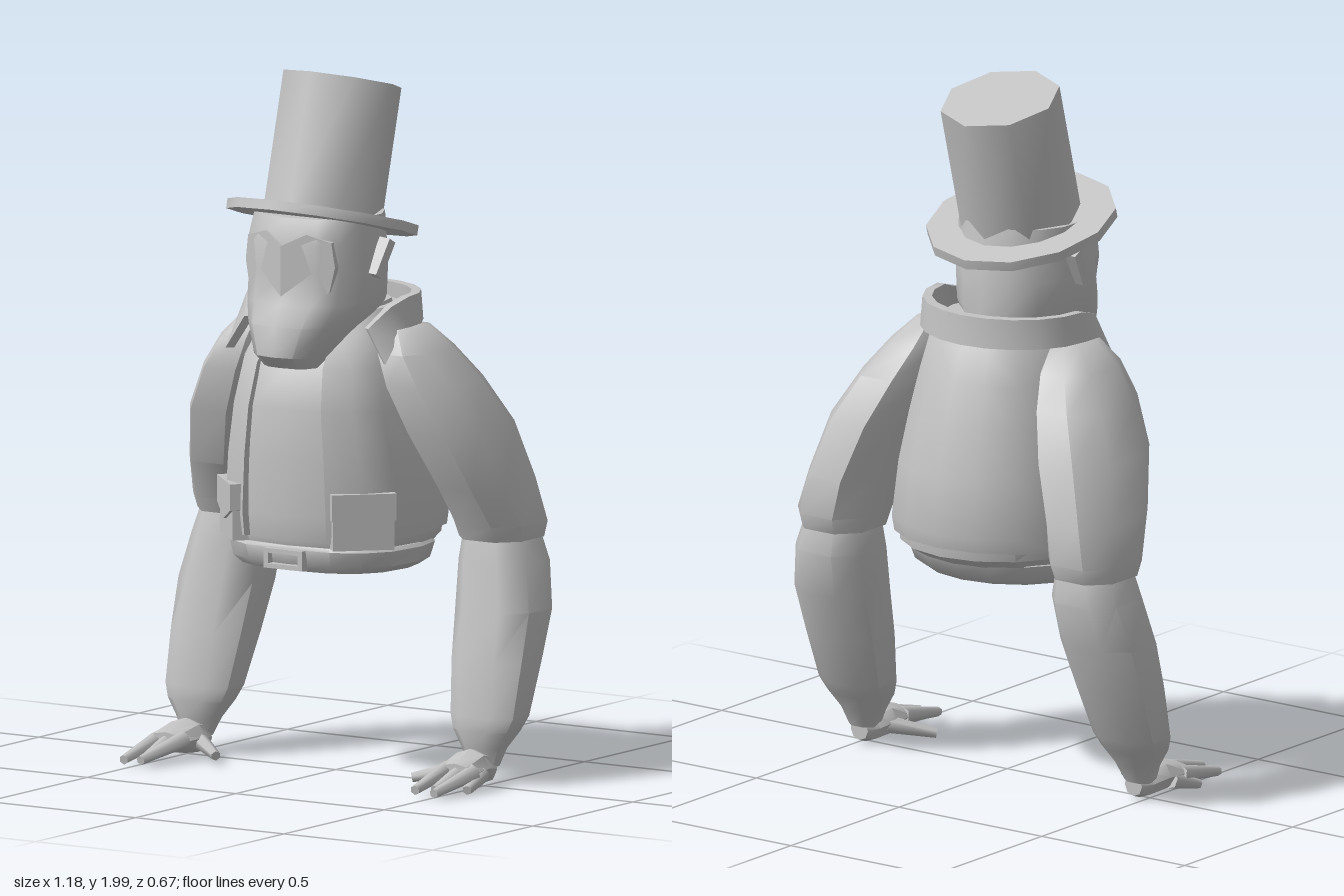
import * as THREE from 'three';
import { toCreasedNormals } from 'three/addons/utils/BufferGeometryUtils.js';

const V = (x, y, z) => new THREE.Vector3(x, y, z);
const grey = new THREE.MeshStandardMaterial({ color: 0xc4c4c4 });
grey.name = 'plain grey';

// Closed skin over a list of rings, capped at both ends
function loft(rings, crease = 0.75) {
  const n = rings[0].length, pos = [], idx = [];
  rings.forEach(r => r.forEach(p => pos.push(p.x, p.y, p.z)));
  for (let i = 0; i < rings.length - 1; i++) for (let j = 0; j < n; j++) {
    const a = i * n + j, b = i * n + (j + 1) % n;
    idx.push(a, b, b + n, a, b + n, a + n);
  }
  [0, rings.length - 1].forEach((i, end) => {
    const c = rings[i].reduce((s, p) => s.add(p), V(0, 0, 0)).divideScalar(n);
    const k = pos.length / 3;
    pos.push(c.x, c.y, c.z);
    for (let j = 0; j < n; j++) {
      const a = i * n + j, b = i * n + (j + 1) % n;
      if (end) idx.push(k, a, b); else idx.push(k, b, a);
    }
  });
  const g = new THREE.BufferGeometry();
  g.setAttribute('position', new THREE.Float32BufferAttribute(pos, 3));
  g.setIndex(idx);
  return toCreasedNormals(g, crease);
}

const pw = (v, p) => Math.sign(v) * Math.abs(v) ** p;
// Point on a horizontal section: boxy in front, round behind
function section(a, [y, rx, zf, zb], k = 1) {
  const c = Math.cos(a), p = c > 0 ? 0.75 : 1;
  return V(rx * k * pw(Math.sin(a), p), y, (zf + zb) / 2 + (zf - zb) / 2 * k * pw(c, p));
}
const ringOf = (row, n, k) => Array.from({ length: n }, (_, j) => section(j / n * Math.PI * 2, row, k));

// Horizontal eight-sided section from x and z ranges, on side s
function oval([y, x0, x1, z0, z1], s) {
  return Array.from({ length: 8 }, (_, j) => {
    const a = (j + 0.5) / 8 * Math.PI * 2;
    return V(s * (x0 + x1) / 2 + (x1 - x0) / 2 * 1.065 * pw(Math.sin(a), 0.8), y,
      (z0 + z1) / 2 + (z1 - z0) / 2 * 1.065 * pw(Math.cos(a), 0.8));
  });
}

// Open band wrapped round the body: profile(a) lists outer points downward, then inner points upward
function wrap(a0, steps, profile) {
  const rings = [];
  for (let i = 0; i <= steps; i++) rings.push(profile(a0 + (Math.PI * 2 - 2 * a0) * i / steps));
  return loft(rings);
}

const shapeOf = points => new THREE.Shape(points.map(p => new THREE.Vector2(...p)));
const extrude = (shape, depth) => new THREE.ExtrudeGeometry(shape, { depth, bevelEnabled: false });

export function createModel() {
  const model = new THREE.Group();
  const add = (name, geo, parent = model) => {
    const m = new THREE.Mesh(geo, grey);
    m.name = name;
    parent.add(m);
    return m;
  };
  const limb = (name, p, q, r0, r1) => {
    const d = q.clone().sub(p);
    const m = add(name, new THREE.CylinderGeometry(r1, r0, d.length(), 6));
    m.position.copy(p).addScaledVector(d, 0.5);
    m.quaternion.setFromUnitVectors(V(0, 1, 0), d.normalize());
  };

  // Torso and open vest share the same sections: y, half width, front z, back z
  const body = [
    [0.69, 0.30, 0.265, -0.325], [0.76, 0.305, 0.272, -0.335], [0.92, 0.29, 0.272, -0.315],
    [1.06, 0.265, 0.268, -0.285], [1.18, 0.24, 0.24, -0.25], [1.27, 0.21, 0.17, -0.215], [1.33, 0.17, 0.11, -0.18]];
  const low = [[0.588, 0.15, 0.14, -0.12], [0.61, 0.24, 0.215, -0.2], [0.65, 0.28, 0.25, -0.25]];
  add('shirt', loft([...low, ...body].map(r => ringOf(r, 16, 0.95))));
  add('vest', wrap(0.36, 14, a => {
    const lift = 0.015 * (1 - Math.cos(a));
    const hem = ([y, ...r], i) => [i ? y : y + lift, ...r];
    return [
      ...body.map(hem).reverse().map(r => section(a, r, 1.005)),
      ...body.map(hem).map(r => section(a, r, 0.94))];
  }));

  // Belt and buckle
  add('belt', loft([[0.602, 0.25, 0.23, -0.21], [0.622, 0.28, 0.245, -0.235], [0.665, 0.29, 0.255, -0.255], [0.675, 0.28, 0.25, -0.245]]
    .map(r => ringOf(r, 16))));
  const frame = shapeOf([[-0.065, -0.028], [0.065, -0.028], [0.065, 0.028], [-0.065, 0.028]]);
  frame.holes.push(shapeOf([[-0.05, -0.015], [-0.05, 0.015], [0.05, 0.015], [0.05, -0.015]]));
  add('buckle', extrude(frame, 0.03)).position.set(0, 0.637, 0.235);

  // Turned-up collar, dropping to two points in front
  add('collar', wrap(0.95, 14, a => {
    const f = 2.9 * Math.max(0, Math.cos(a)) ** 2, top = 1.37 - 0.08 * f, bot = 1.285 - 0.09 * f;
    const at = (r, rz, y) => V(r * Math.sin(a), y, 0.015 + rz * Math.cos(a));
    return [at(0.255, 0.23, top), at(0.262 + 0.07 * f, 0.235, bot), at(0.24 + 0.07 * f, 0.205, bot), at(0.23, 0.2, top)];
  }));

  // Head: chin, muzzle, cheeks, brow and skull
  add('head', loft([
    [1.18, 0.085, 0.275, 0.12], [1.215, 0.11, 0.315, 0.03], [1.3, 0.155, 0.31, -0.12], [1.36, 0.18, 0.28, -0.122],
    [1.45, 0.185, 0.26, -0.118], [1.53, 0.185, 0.265, -0.11], [1.6, 0.18, 0.235, -0.1]].map(r => ringOf(r, 14))));
  add('neck', new THREE.CylinderGeometry(0.14, 0.17, 0.16, 12)).position.set(0, 1.26, -0.03);

  // Top hat leaning backwards
  const hat = new THREE.Group();
  hat.name = 'topHat';
  hat.position.set(0, 1.58, 0.067);
  hat.rotation.x = -0.26;
  model.add(hat);
  add('hatBrim', toCreasedNormals(new THREE.CylinderGeometry(0.27, 0.27, 0.028, 12), 0.9), hat);
  add('hatCrown', toCreasedNormals(new THREE.CylinderGeometry(0.17, 0.17, 0.39, 8), 0.9), hat).position.y = 0.195;

  for (const s of [1, -1]) {
    const side = s > 0 ? 'left' : 'right';

    // Half of the heart-shaped face plate, slanting back from the middle
    const outline = [[0, 1.36], [0.07, 1.37], [0.135, 1.4], [0.15, 1.47], [0.14, 1.54], [0.07, 1.56], [0, 1.525]];
    const half = extrude(shapeOf(outline.map(([x, y]) => [s * x, y])), 0.03);
    const p = half.attributes.position;
    for (let i = 0; i < p.count; i++) p.setZ(i, p.getZ(i) + 0.245 - 0.32 * Math.abs(p.getX(i)));
    half.computeVertexNormals();
    add(side + 'FacePlate', half);

    // Thin ear leaning back
    const ear = add(side + 'Ear', new THREE.BoxGeometry(0.035, 0.11, 0.032));
    ear.position.set(s * 0.195, 1.482, 0.065);
    ear.rotation.set(-0.5, 0, s * -0.1);

    // Vest pocket with a pointed flap
    const pocket = new THREE.Group();
    pocket.name = side + 'Pocket';
    pocket.position.set(s * 0.214, 0.75, 0.186);
    pocket.rotation.y = s * 0.78;
    model.add(pocket);
    add('pocketBag', new THREE.BoxGeometry(0.175, 0.15, 0.05), pocket);
    add('pocketFlap', extrude(shapeOf([[-0.092, 0.085], [-0.092, 0.01], [0, -0.025], [0.092, 0.01], [0.092, 0.085]]), 0.033), pocket);

    // Sleeve and forearm: y, x range, z range, bottom to top
    add(side + 'Sleeve', loft([
      [0.685, 0.335, 0.545, -0.29, -0.06], [0.73, 0.325, 0.553, -0.305, -0.04], [0.84, 0.305, 0.53, -0.295, 0.025],
      [1.0, 0.245, 0.487, -0.26, 0.095], [1.13, 0.2, 0.415, -0.2, 0.125], [1.22, 0.18, 0.348, -0.14, 0.12],
      [1.285, 0.19, 0.285, -0.08, 0.08]].map(r => oval(r, s)), 0.85));
    add(side + 'Forearm', loft([
      [0.06, 0.44, 0.525, -0.055, 0.01], [0.11, 0.42, 0.54, -0.08, 0.02], [0.16, 0.39, 0.57, -0.115, 0.03],
      [0.2, 0.375, 0.585, -0.14, 0.025], [0.35, 0.355, 0.59, -0.205, 0.0], [0.49, 0.342, 0.59, -0.265, -0.03],
      [0.62, 0.335, 0.562, -0.297, -0.055], [0.7, 0.345, 0.535, -0.285, -0.07]].map(r => oval(r, s)), 0.85));

    // Hand flat on the ground, thumb pointing inward
    const palm = [[-0.05, 0.48, 0.05, 0.03, 0.03], [-0.02, 0.48, 0.055, 0.05, 0.045],
      [0.04, 0.48, 0.065, 0.065, 0.05], [0.13, 0.487, 0.06, 0.06, 0.026]];
    add(side + 'Palm', loft(palm.map(([z, x, y, rx, ry]) => Array.from({ length: 8 }, (_, j) => {
      const a = j / 8 * Math.PI * 2;
      return V(s * x + rx * Math.cos(a), y + ry * Math.sin(a), z);
    }))));
    [[0.445, 0.065, 0.1, 0.462, 0.03, 0.29], [0.49, 0.06, 0.1, 0.488, 0.025, 0.23],
      [0.53, 0.06, 0.1, 0.522, 0.025, 0.285], [0.53, 0.05, 0.06, 0.55, 0.02, 0.16],
      [0.44, 0.055, 0.03, 0.33, 0.03, 0.11]].forEach(([a, b, c, d, e, f], i) =>
      limb(side + (i === 4 ? 'Thumb' : 'Finger' + (i + 1)), V(s * a, b, c), V(s * d, e, f), 0.025, 0.014));
  }
  return model;
}
